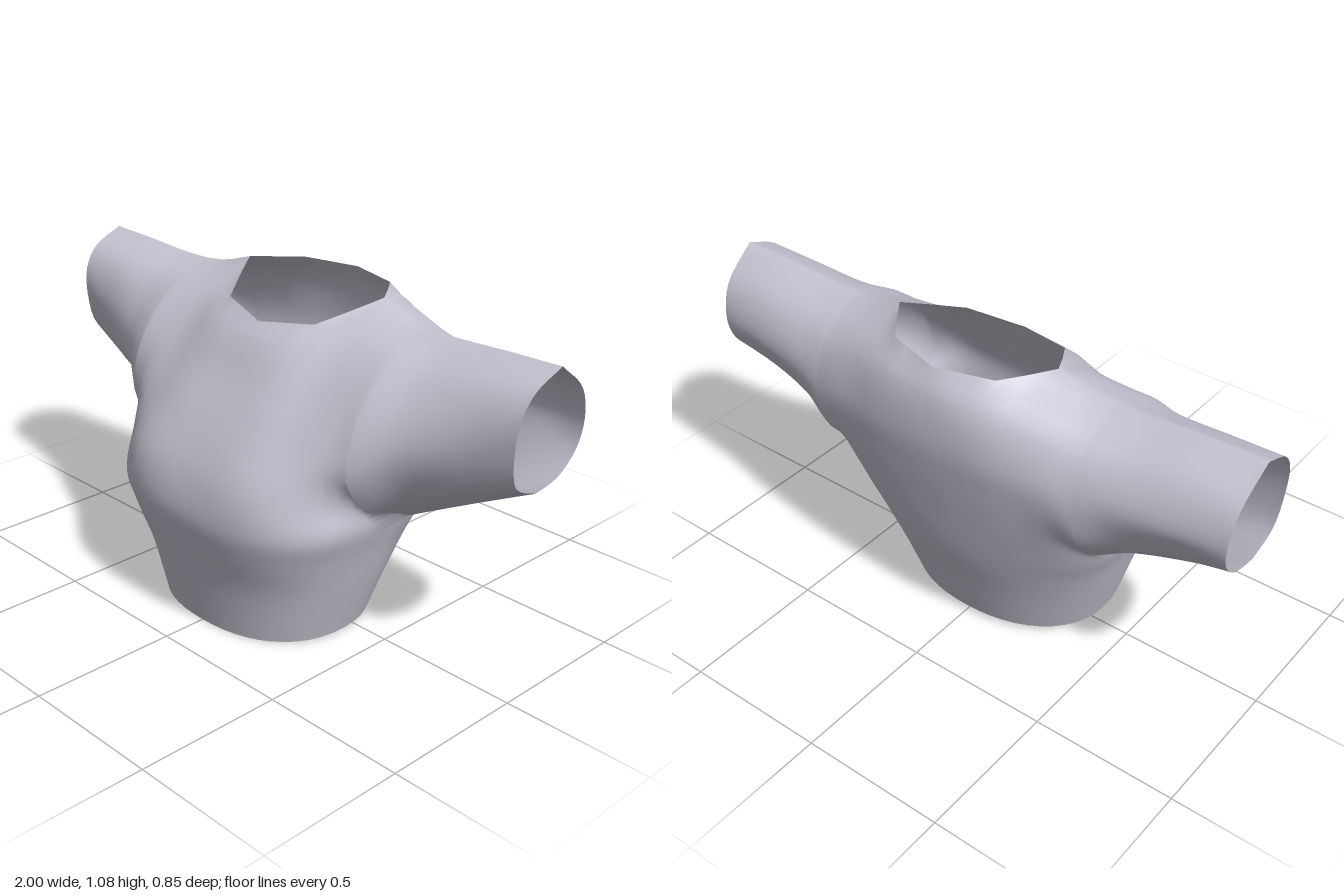
import * as THREE from 'three';
import { mergeVertices } from 'three/addons/utils/BufferGeometryUtils.js';

const ARMPIT = 0.505;                                        // half-width where sleeves begin
const NECK = ARMPIT * Math.sin((Math.PI / 2) * (5 / 12));    // half-width of the neckline

// Torso rings from hem to armpit: height, half-width, side z, front z, back z, front and back roundness
const RINGS = [
  [0, 0.37, 0.05, 0.345, -0.235, 2.3, 2.2],
  [0.2, 0.43, 0.02, 0.375, -0.29, 2.5, 2.2],
  [0.33, 0.47, -0.02, 0.41, -0.335, 2.8, 2.2],
  [0.43, ARMPIT, -0.06, 0.425, -0.36, 3, 2.3],
];

// Upper cross-sections across x, each as [z, y] points from armpit height to the top edge
const STATIONS = [0, 0.2, NECK, 0.42, ARMPIT, 0.62, 0.82, 1];
const FRONT = [
  [[0.39, 0.56], [0.305, 0.7], [0.205, 0.83], [0.13, 0.94], [0.085, 0.985]],
  [[0.39, 0.56], [0.3, 0.7], [0.2, 0.83], [0.11, 0.94], [0.03, 1.01]],
  [[0.36, 0.56], [0.27, 0.7], [0.15, 0.85], [0.01, 0.99], [-0.16, 1.08]],
  [[0.27, 0.55], [0.24, 0.69], [0.15, 0.84], [0.01, 0.98], [-0.15, 1.045]],
  [[0.12, 0.51], [0.2, 0.64], [0.165, 0.81], [0.03, 0.965], [-0.145, 1.035]],
  [[0.05, 0.56], [0.13, 0.7], [0.11, 0.83], [0.01, 0.96], [-0.14, 1.035]],
  [[0.02, 0.64], [0.065, 0.77], [0.05, 0.88], [-0.01, 0.98], [-0.14, 1.045]],
  [[0, 0.71], [0.03, 0.83], [0.02, 0.93], [-0.03, 1.0], [-0.14, 1.05]],
];
const BACK = [
  [[-0.385, 0.56], [-0.41, 0.7], [-0.425, 0.84], [-0.405, 0.99], [-0.365, 1.07]],
  [[-0.375, 0.56], [-0.4, 0.7], [-0.415, 0.84], [-0.385, 0.99], [-0.31, 1.072]],
  [[-0.355, 0.56], [-0.385, 0.7], [-0.395, 0.84], [-0.34, 0.99], [-0.16, 1.08]],
  [[-0.31, 0.55], [-0.365, 0.69], [-0.375, 0.83], [-0.31, 0.97], [-0.15, 1.045]],
  [[-0.22, 0.51], [-0.335, 0.64], [-0.36, 0.8], [-0.3, 0.95], [-0.145, 1.035]],
  [[-0.2, 0.56], [-0.3, 0.68], [-0.34, 0.82], [-0.28, 0.95], [-0.14, 1.035]],
  [[-0.2, 0.63], [-0.285, 0.74], [-0.315, 0.83], [-0.265, 0.96], [-0.14, 1.045]],
  [[-0.2, 0.68], [-0.275, 0.75], [-0.295, 0.84], [-0.26, 0.95], [-0.14, 1.05]],
];

// Interpolates station values at x, smoothly or in straight lines
function across(values, x, smooth) {
  const last = STATIONS.length - 1;
  let i = 0;
  while (i < last - 1 && x > STATIONS[i + 1]) i++;
  const h = STATIONS[i + 1] - STATIONS[i];
  const t = (x - STATIONS[i]) / h;
  if (!smooth) return THREE.MathUtils.lerp(values[i], values[i + 1], t);
  const slope = (k) => {
    if (k === 0) return 0;
    const b = Math.min(k + 1, last);
    return (values[b] - values[k - 1]) / (STATIONS[b] - STATIONS[k - 1]);
  };
  const t2 = t * t, t3 = t2 * t;
  return (2 * t3 - 3 * t2 + 1) * values[i] + (t3 - 2 * t2 + t) * h * slope(i)
    + (3 * t2 - 2 * t3) * values[i + 1] + (t3 - t2) * h * slope(i + 1);
}

// One vertical line of cloth, from hem (or underarm) to neckline (or shoulder)
function column(x0, isFront) {
  const ax = Math.abs(x0), sign = Math.sign(x0);
  const stations = isFront ? FRONT : BACK;
  const points = [];
  const out = Math.max(0, (ax - ARMPIT) / (1 - ARMPIT));
  const cuff = (y) => ax - 0.03 * out * (1.05 - y) / 0.39;   // slanted cuff
  for (const [y, w, side, front, back, nf, nb] of RINGS) {
    if (out > 1e-6) {
      const yb = 0.43 + 0.23 * out;
      points.push(new THREE.Vector3(sign * cuff(yb), yb, -0.06 - 0.04 * out));
      continue;
    }
    const t = Math.min(1, ax / ARMPIT);
    const n = isFront ? nf : nb;
    const bulge = t > 0.99999 ? 0 : Math.pow(1 - Math.pow(t, n), 1 / n);
    const z = side + ((isFront ? front : back) - side) * bulge;
    points.push(new THREE.Vector3(sign * w * t, y === 0 ? 0.017 - 0.035 * z : y, z));
  }
  for (let r = 0; r < 5; r++) {
    const z = across(stations.map((s) => s[r][0]), ax, r < 4);
    const y = across(stations.map((s) => s[r][1]), ax, r < 4);
    points.push(new THREE.Vector3(sign * cuff(y), y, z));
  }
  const curve = new THREE.CatmullRomCurve3(points);
  const steps = (points.length - 1) * 4;
  return Array.from({ length: steps + 1 }, (_, i) => curve.getPoint(i / steps));
}

function createShirtGeometry() {
  const half = [];
  for (let k = 1; k <= 12; k++) half.push(ARMPIT * Math.sin((Math.PI / 2) * (k / 12)));
  for (let k = 1; k <= 12; k++) half.push(ARMPIT + (1 - ARMPIT) * (k / 12));
  const xs = [...half.map((x) => -x).reverse(), 0, ...half];
  const positions = [], index = [];
  const armpitRow = (RINGS.length - 1) * 4;

  for (const isFront of [true, false]) {
    const base = positions.length / 3;
    const columns = xs.map((x) => column(x, isFront));
    const rows = columns[0].length;
    columns.forEach((c) => c.forEach((p) => positions.push(p.x, p.y, p.z)));
    for (let c = 0; c < xs.length - 1; c++) {
      const sleeve = Math.max(Math.abs(xs[c]), Math.abs(xs[c + 1])) > ARMPIT + 1e-6;
      for (let r = sleeve ? armpitRow : 0; r < rows - 1; r++) {
        const a = base + c * rows + r, b = a + rows;
        if (isFront) index.push(a, b, b + 1, a, b + 1, a + 1);
        else index.push(a, b + 1, b, a, a + 1, b + 1);
      }
    }
  }
  const geometry = new THREE.BufferGeometry();
  geometry.setAttribute('position', new THREE.Float32BufferAttribute(positions, 3));
  geometry.setIndex(index);
  // Sew the side, underarm and shoulder seams
  const sewn = mergeVertices(geometry, 1e-4);
  sewn.computeVertexNormals();
  return sewn;
}

export function createModel() {
  const group = new THREE.Group();
  group.name = 'croppedShirt';
  const cloth = new THREE.MeshStandardMaterial({ color: 0xc8c3d2, side: THREE.DoubleSide });
  cloth.name = 'paleLavenderCloth';
  const shirt = new THREE.Mesh(createShirtGeometry(), cloth);
  shirt.name = 'shirtBodyAndSleeves';
  group.add(shirt);
  return group;
}
